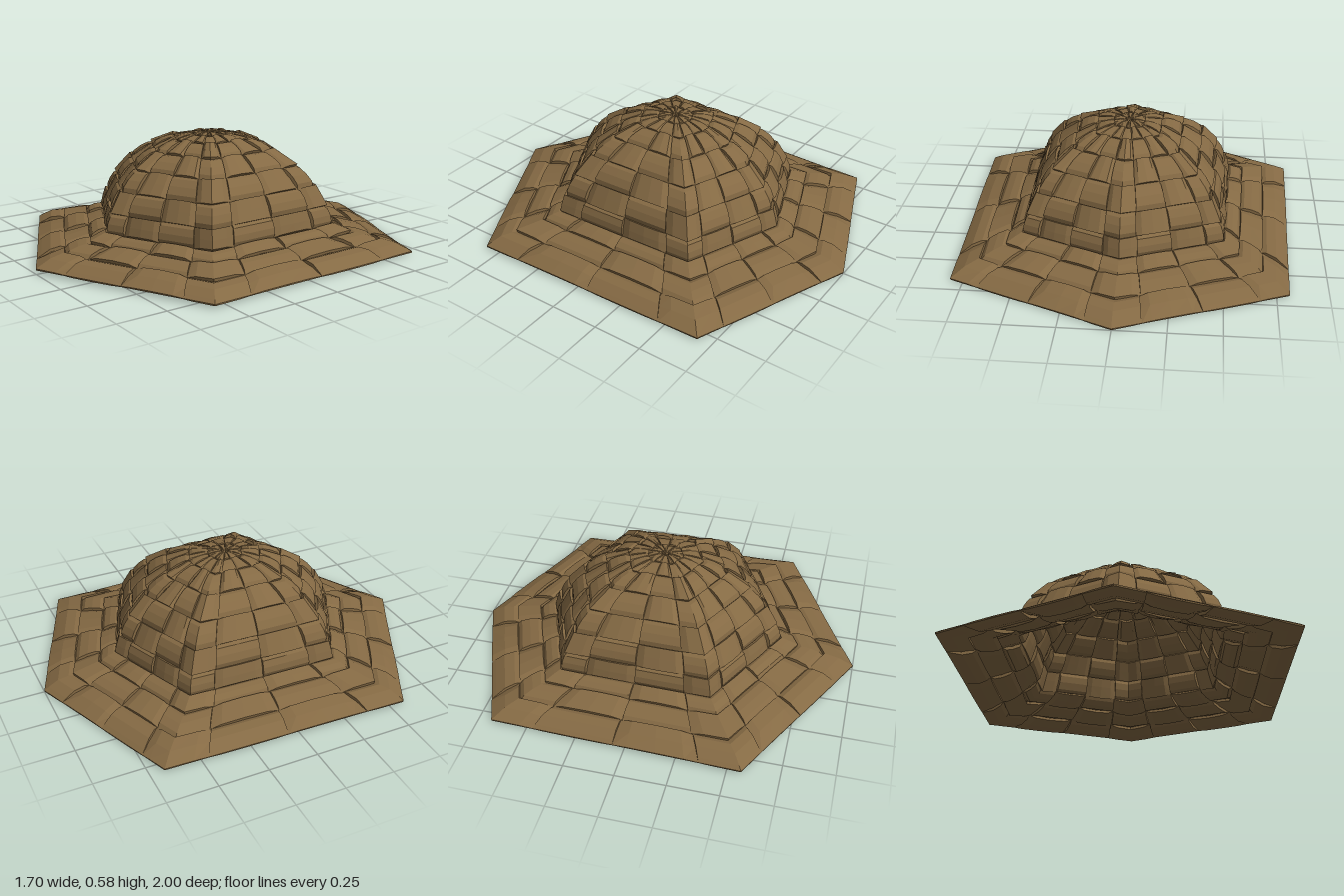
import * as THREE from 'three';

// Hexagon corners (x, z) of the rim, and profile rows (scale, height) from rim to crown top
const CORNERS = [[0, 1], [0.85, 0.57], [0.81, -0.68], [0, -1], [-0.81, -0.68], [-0.85, 0.57]];
const PROFILE = [[1, 0.025], [0.84, 0.062], [0.7, 0.093], [0.6, 0.13], [0.568, 0.23], [0.512, 0.33],
  [0.425, 0.425], [0.31, 0.5], [0.19, 0.55], [0.09, 0.568], [0.015, 0.572]];
const ROWS = PROFILE.length - 1;
const COLS = 18;

function profileAt(v) {
  const c = Math.min(Math.max(v, 0), ROWS);
  const i = Math.min(Math.floor(c), ROWS - 1), f = c - i;
  return [0, 1].map((k) => PROFILE[i][k] * (1 - f) + PROFILE[i + 1][k] * f);
}

// Point on the hat at column u and row v, lifted by h along the outward direction
function surface(u, v, h) {
  const w = (((u % COLS) + COLS) % COLS) / 3;
  const k = Math.floor(w) % 6, f = w - Math.floor(w);
  const a = CORNERS[k], b = CORNERS[(k + 1) % 6];
  const x = a[0] * (1 - f) + b[0] * f, z = a[1] * (1 - f) + b[1] * f;
  const [r, y] = profileAt(v);
  const p = profileAt(v - 0.3), q = profileAt(v + 0.3);
  const dr = p[0] - q[0], dy = q[1] - p[1], len = Math.hypot(dr, dy), hl = Math.hypot(x, z);
  const out = (h * dy) / len / hl;
  return [x * (r + out), y + (h * dr) / len + 0.008 * z * r, z * (r + out)];
}

// Thick strip over a grid of columns us and rows vs, following the lift rule; it thins out at the rim
function strand(us, vs, lift) {
  const pos = [], index = [], nu = us.length, nv = vs.length;
  for (const side of [0.008, -0.008])
    for (const v of vs) for (const u of us) {
      const fade = Math.min(1, 0.25 + 1.5 * v);
      pos.push(...surface(u, v, fade * (lift(u, v) + side)));
    }
  const id = (s, j, i) => s * nu * nv + j * nu + i;
  const quad = (a, b, c, d) => index.push(a, b, c, a, c, d);
  for (let j = 0; j < nv - 1; j++) for (let i = 0; i < nu - 1; i++) {
    quad(id(0, j, i), id(0, j, i + 1), id(0, j + 1, i + 1), id(0, j + 1, i));
    quad(id(1, j, i), id(1, j + 1, i), id(1, j + 1, i + 1), id(1, j, i + 1));
  }
  for (let i = 0; i < nu - 1; i++) {
    quad(id(0, 0, i), id(1, 0, i), id(1, 0, i + 1), id(0, 0, i + 1));
    quad(id(0, nv - 1, i), id(0, nv - 1, i + 1), id(1, nv - 1, i + 1), id(1, nv - 1, i));
  }
  for (let j = 0; j < nv - 1; j++) {
    quad(id(0, j, 0), id(0, j + 1, 0), id(1, j + 1, 0), id(1, j, 0));
    quad(id(0, j, nu - 1), id(1, j, nu - 1), id(1, j + 1, nu - 1), id(0, j + 1, nu - 1));
  }
  const g = new THREE.BufferGeometry();
  g.setAttribute('position', new THREE.Float32BufferAttribute(pos, 3));
  g.setIndex(index);
  g.computeVertexNormals();
  return g;
}

// Sample positions of a strand: steep at each crossing, nearly flat between
const STEPS = [0, 0.16, 0.5, 0.84];
const samples = (start, cells) => {
  const out = [];
  for (let i = 0; i < cells; i++) STEPS.forEach((s) => out.push(start + i + s));
  return [...out, start + cells];
};
// Height of the weave at fraction f of a crossing
const wave = (f) => (f < 0.01 || f > 0.99 ? 0 : Math.abs(f - 0.5) < 0.1 ? 1.1 : 0.85);

export function createModel() {
  const hat = new THREE.Group();
  hat.name = 'wovenHat';
  const straw = new THREE.MeshStandardMaterial({ color: 0x856a44, flatShading: true, side: THREE.DoubleSide });
  const add = (name, geometry) => {
    const mesh = new THREE.Mesh(geometry, straw);
    mesh.name = name;
    hat.add(mesh);
  };
  const weave = (row, col) => (row < 8 ? 0.016 : 0.009) * ((row + col) % 2 === 0 ? 1 : -1);

  // Hoops run around the hat, alternately over and under the ribs
  for (let row = 0; row < ROWS; row++) {
    const lift = (u) => {
      const col = Math.floor(u + 0.5);
      return weave(row, col) * wave(u + 0.5 - col);
    };
    add(row < 3 ? 'brimHoop' : 'crownHoop',
      strand(samples(-0.5, COLS), [row, row + 0.5, row + 0.98], lift));
  }

  // Ribs run from the rim to the crown top, passing the hoops the opposite way
  for (let col = 0; col < COLS; col++) {
    const lift = (u, v) => {
      const row = Math.floor(v);
      return -weave(row, col) * wave(v - row);
    };
    add('rib', strand([col - 0.49, col, col + 0.49], samples(0, ROWS), lift));
  }

  // Stand the hat on the ground
  const floor = new THREE.Box3().setFromObject(hat).min.y;
  hat.children.forEach((m) => m.geometry.translate(0, -floor, 0));
  return hat;
}
